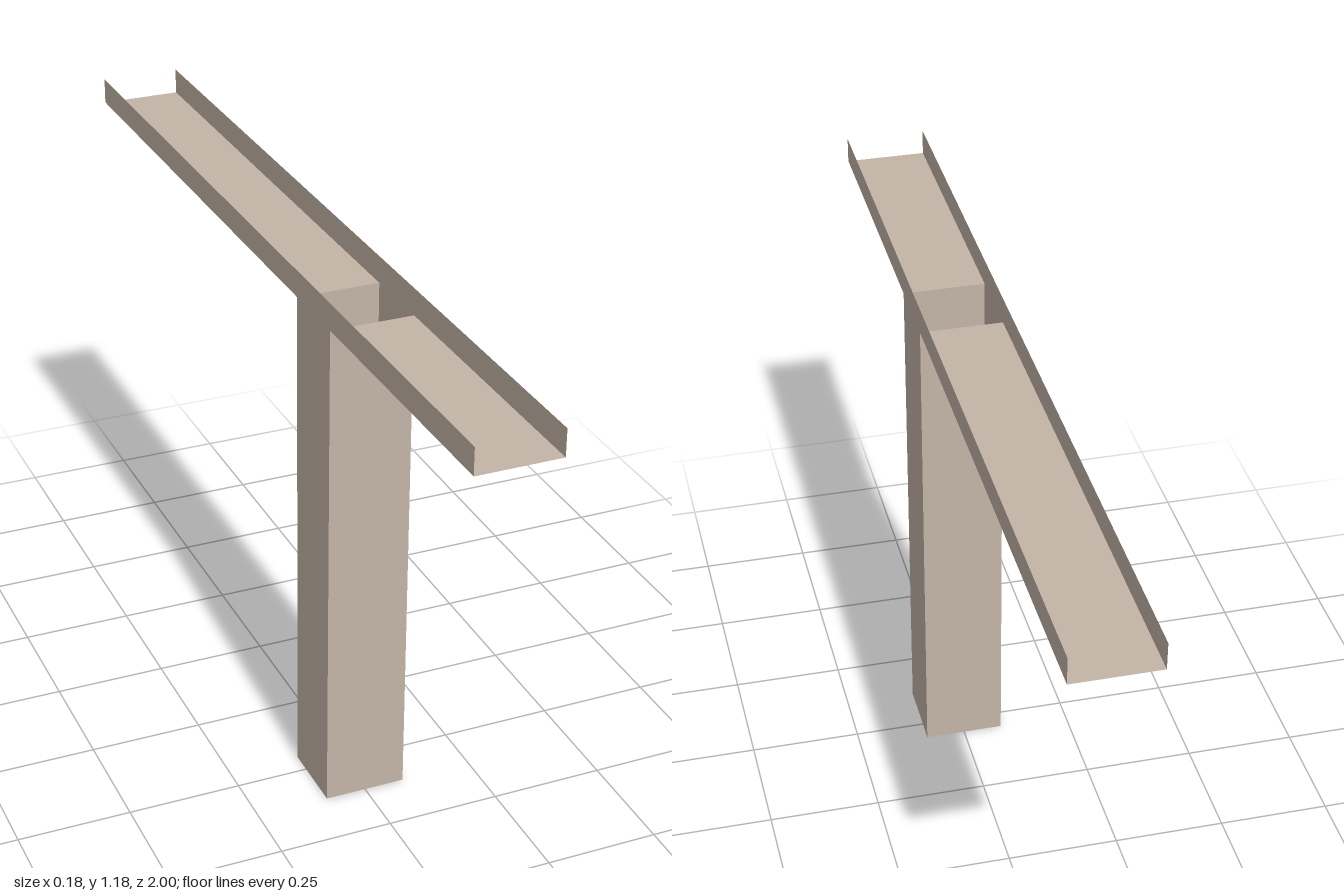
import * as THREE from 'three';

const HALF_W = 0.09;              // half width of the whole piece
const FLOOR = 1.122, TOP = 1.18;  // trough floor and rim heights
const POST_BACK = 0.2, POST_FRONT = 0.367;

export function createModel() {
  const group = new THREE.Group();
  const beige = new THREE.MeshStandardMaterial({ color: 0xc4b4a7, side: THREE.DoubleSide });
  beige.name = 'beige';

  const add = (name, geometry, x, y, z) => {
    const mesh = new THREE.Mesh(geometry, beige);
    mesh.name = name;
    mesh.position.set(x, y, z);
    group.add(mesh);
    return mesh;
  };

  // T-shaped side walls, drawn as (z, y) outlines
  const outline = new THREE.Shape([
    [POST_BACK, 0], [POST_FRONT, 0], [POST_FRONT, FLOOR], [1, FLOOR],
    [1, TOP], [-1, TOP], [-1, FLOOR], [POST_BACK, FLOOR],
  ].map(([z, y]) => new THREE.Vector2(z, y)));
  const wall = new THREE.ShapeGeometry(outline).rotateY(-Math.PI / 2);
  add('rightSideWall', wall, -HALF_W, 0, 0);
  add('leftSideWall', wall, HALF_W, 0, 0);

  // Trough floors on either side of the open post
  const addFloor = (name, z0, z1) =>
    add(name, new THREE.PlaneGeometry(2 * HALF_W, z1 - z0).rotateX(-Math.PI / 2), 0, FLOOR, (z0 + z1) / 2);
  addFloor('backTroughFloor', -1, POST_BACK);
  addFloor('frontTroughFloor', POST_FRONT, 1);

  // Front and back of the hollow post, open at both ends
  const panel = new THREE.PlaneGeometry(2 * HALF_W, FLOOR);
  add('postFront', panel, 0, FLOOR / 2, POST_FRONT);
  add('postBack', panel, 0, FLOOR / 2, POST_BACK).rotation.y = Math.PI;

  return group;
}
